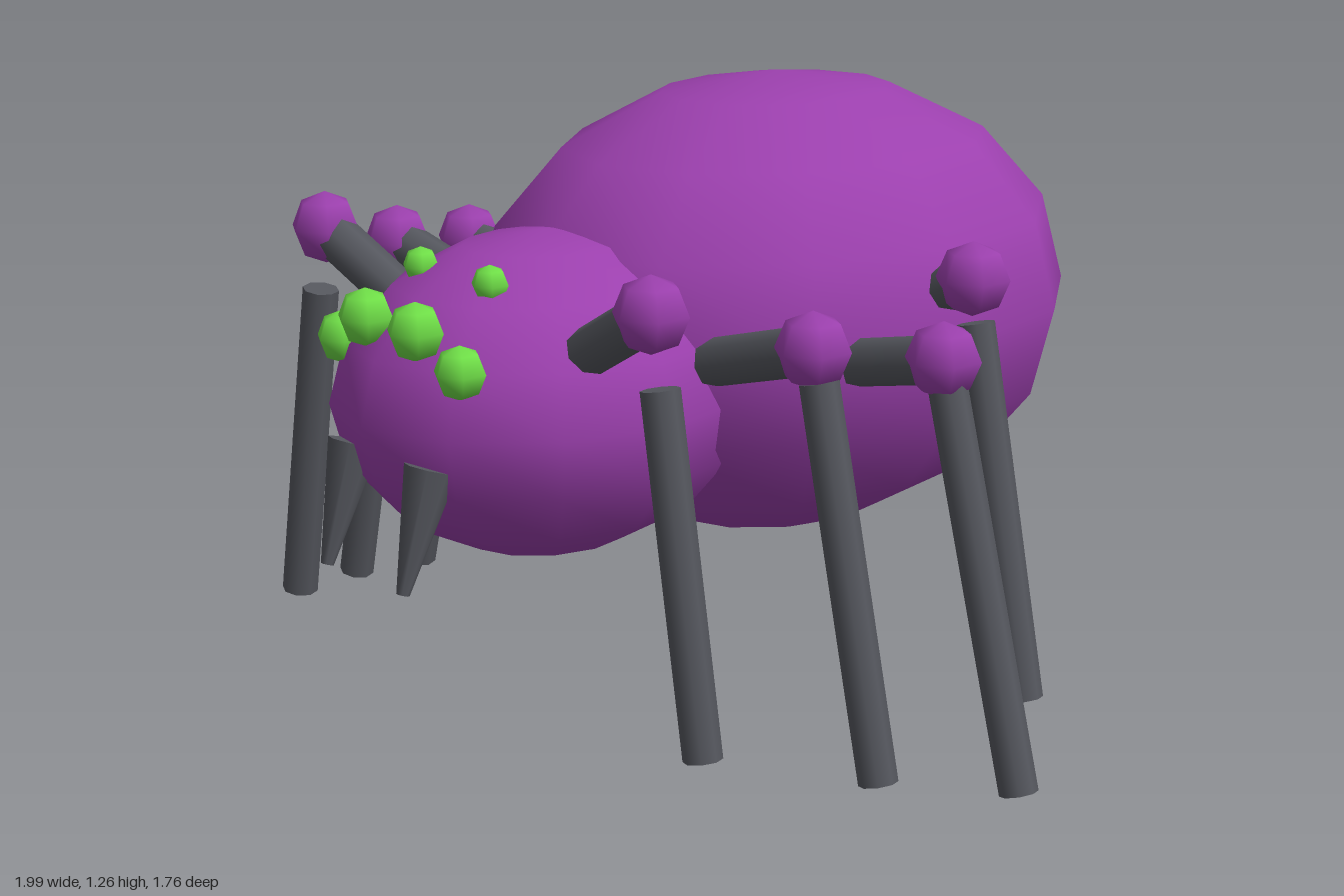
import * as THREE from 'three';

const purple = new THREE.MeshStandardMaterial({ color: 0x9c40ae });
const grey = new THREE.MeshStandardMaterial({ color: 0x55575e });
const green = new THREE.MeshStandardMaterial({ color: 0x70e048 });

export function createModel() {
  const model = new THREE.Group();
  model.name = 'spider';

  const add = (parent, name, geometry, material) => {
    const mesh = new THREE.Mesh(geometry, material);
    mesh.name = name;
    parent.add(mesh);
    return mesh;
  };

  // Stretched ball; the quarter turn points its facets along z
  const ball = (parent, name, material, centre, radii, w, h) => {
    const geometry = new THREE.SphereGeometry(1, w, h);
    geometry.rotateY(Math.PI / 2);
    const mesh = add(parent, name, geometry, material);
    mesh.scale.set(...radii);
    mesh.position.set(...centre);
  };

  // Tapered rod running from a to b
  const rod = (parent, name, a, b, ra, rb, sides = 8) => {
    const start = new THREE.Vector3(...a);
    const end = new THREE.Vector3(...b);
    const dir = end.clone().sub(start);
    const mesh = add(parent, name, new THREE.CylinderGeometry(rb, ra, dir.length(), sides), grey);
    mesh.position.copy(start).add(end).multiplyScalar(0.5);
    mesh.quaternion.setFromUnitVectors(new THREE.Vector3(0, 1, 0), dir.normalize());
  };

  // Body
  ball(model, 'abdomen', purple, [0, 0.78, -0.2], [0.56, 0.48, 0.68], 12, 8);
  ball(model, 'head', purple, [0, 0.685, 0.42], [0.385, 0.325, 0.45], 12, 8);

  // Legs, front to back: hip, knee, shin top, foot
  const legs = [
    { hip: [0.28, 0.83, 0.55], knee: [0.515, 0.955, 0.585], shin: [0.54, 0.82, 0.585], foot: [0.657, 0.135, 0.585] },
    { hip: [0.34, 0.78, 0.28], knee: [0.65, 0.868, 0.308], shin: [0.67, 0.81, 0.31], foot: [0.84, 0.07, 0.31] },
    { hip: [0.44, 0.755, 0.03], knee: [0.735, 0.822, 0.05], shin: [0.745, 0.785, 0.05], foot: [0.957, 0.015, 0.05] },
    { hip: [0.42, 0.85, -0.19], knee: [0.6, 0.922, -0.17], shin: [0.61, 0.835, -0.17], foot: [0.765, 0.097, -0.17] },
  ];
  // Eyes: centre and radius
  const eyes = [
    [[0.08, 0.877, 0.795], 0.058],
    [[0.19, 0.815, 0.775], 0.053],
    [[0.11, 0.95, 0.64], 0.038],
  ];

  for (const [side, s] of [['left', 1], ['right', -1]]) {
    const m = ([x, y, z]) => [s * x, y, z];

    legs.forEach(({ hip, knee, shin, foot }, i) => {
      const leg = new THREE.Group();
      leg.name = `${side}Leg${i + 1}`;
      rod(leg, 'upperLeg', m(hip), m(knee), 0.048, 0.048);
      ball(leg, 'knee', purple, m(knee), [0.075, 0.075, 0.075], 6, 4);
      rod(leg, 'lowerLeg', m(shin), m(foot), 0.038, 0.038);
      model.add(leg);
    });

    eyes.forEach(([centre, r], i) => ball(model, `${side}Eye${i + 1}`, green, m(centre), [r, r, r], 6, 4));

    rod(model, `${side}Fang`, m([0.125, 0.62, 0.8]), m([0.125, 0.385, 0.872]), 0.052, 0.013);
  }
  return model;
}
